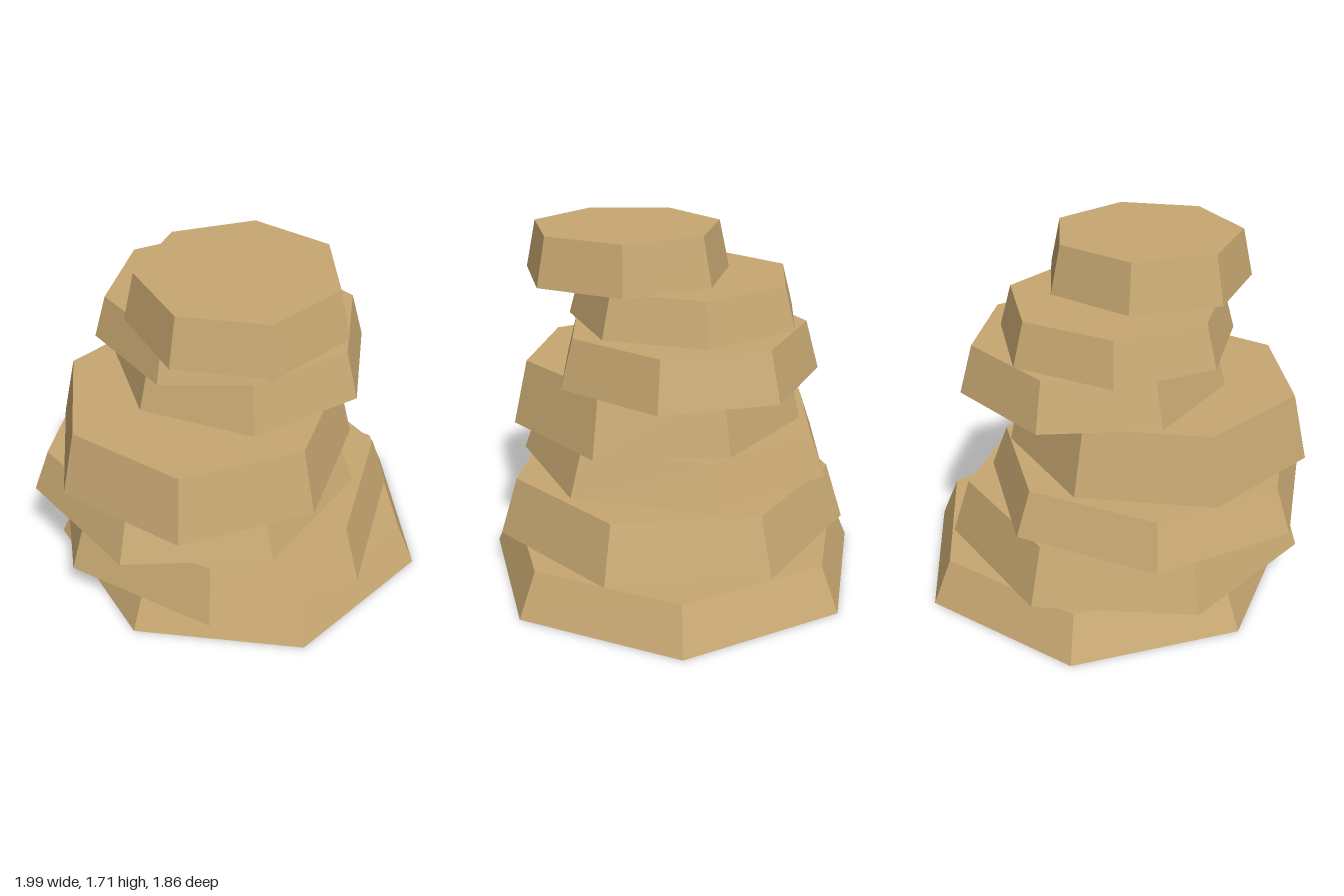
import * as THREE from 'three';

// Each slab: [bottom y, top y, bottom radius, centre x, centre z, corner angle in degrees from +x towards +z]
const SLABS = [
  [0.0, 0.22, 0.953, 0.043, 0.0, -2.1],
  [0.22, 0.5, 0.885, -0.08, 0.023, 19.6],
  [0.5, 0.715, 0.805, -0.215, -0.02, 91],
  [0.715, 1.035, 0.738, -0.228, 0.092, 125.8],
  [1.035, 1.27, 0.645, 0.072, -0.05, 11.2],
  [1.27, 1.475, 0.575, -0.059, -0.059, -9],
  [1.475, 1.707, 0.512, -0.095, 0.23, 0],
];
const SIDES = 7;
const TAPER = 0.9;

export function createModel() {
  const group = new THREE.Group();
  group.name = 'rockStack';

  const sandstone = new THREE.MeshStandardMaterial({ color: 0xc8a872, flatShading: true });
  sandstone.name = 'sandstone';

  // Tapered seven-sided slabs, each twisted and shifted on the one below
  SLABS.forEach(([y0, y1, radius, x, z, angle], i) => {
    const start = THREE.MathUtils.degToRad(90 - angle);
    const geometry = new THREE.CylinderGeometry(radius * TAPER, radius, y1 - y0, SIDES, 1, false, start);
    const slab = new THREE.Mesh(geometry, sandstone);
    slab.name = `rockSlab${i + 1}`;
    slab.position.set(x, (y0 + y1) / 2, z);
    group.add(slab);
  });

  return group;
}
